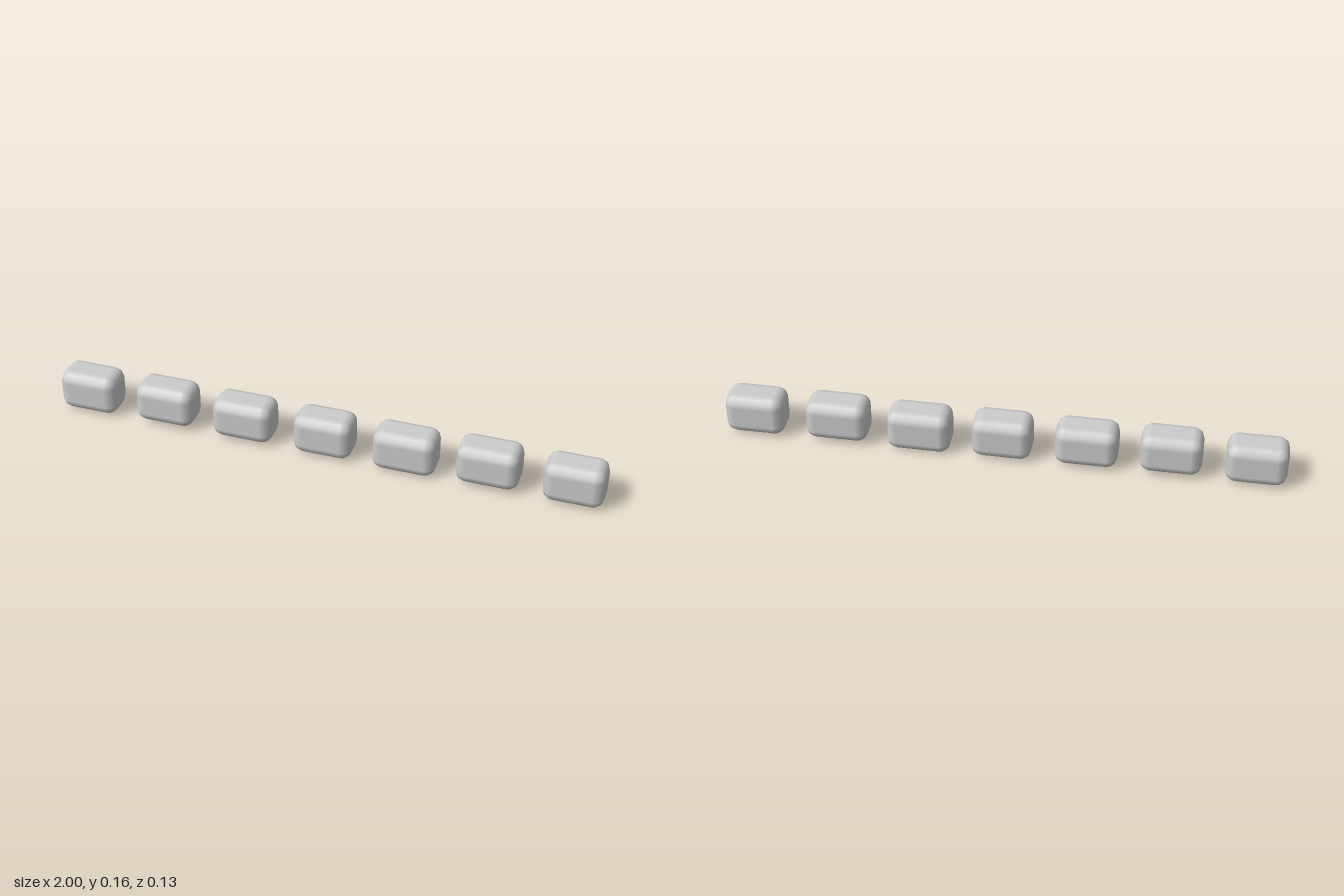
import * as THREE from 'three';

const HALF_DEPTH = 0.067;
const RADIUS = 0.038;

// Rounded block: a grid wrapped around the box, three facets per rounded edge.
function roundedBlock(width, height, depth, r) {
  const geo = new THREE.PlaneGeometry(1, 1, 16, 9);
  const pos = geo.attributes.position;
  const nor = geo.attributes.normal;
  const step = Math.PI / 6;
  const hx = width / 2 - r, hy = height / 2 - r, hz = depth / 2 - r;
  const cornerX = [1, 1, -1, -1];
  const cornerZ = [1, -1, -1, 1];
  for (let row = 0; row <= 9; row++) {
    const cap = row === 0 || row === 9; // closes the flat top and bottom
    const ring = Math.min(Math.max(row - 1, 0), 7);
    const lat = ring < 4 ? Math.PI / 2 - ring * step : -(ring - 4) * step;
    const up = row < 5 ? 1 : -1;
    for (let col = 0; col <= 16; col++) {
      const corner = Math.floor(col / 4) % 4;
      const a = corner * Math.PI / 2 + (col % 4) * step;
      const nx = Math.cos(lat) * Math.sin(a);
      const ny = Math.sin(lat);
      const nz = Math.cos(lat) * Math.cos(a);
      const i = row * 17 + col;
      const y = up * hy + r * ny;
      if (cap) pos.setXYZ(i, 0, y, 0);
      else pos.setXYZ(i, cornerX[corner] * hx + r * nx, y, cornerZ[corner] * hz + r * nz);
      nor.setXYZ(i, nx, ny, nz);
    }
  }
  return geo;
}

export function createModel() {
  const group = new THREE.Group();
  group.name = 'blockRow';
  const grey = new THREE.MeshStandardMaterial({ color: 0xcccccc });
  grey.name = 'light grey';

  // Left edge, right edge, bottom and top of each block
  const blocks = [
    [-1.0, -0.785, 0.007, 0.157],
    [-0.705, -0.488, 0.015, 0.161],
    [-0.411, -0.189, 0.010, 0.157],
    [-0.107, 0.106, 0.007, 0.157],
    [0.183, 0.410, 0.002, 0.154],
    [0.482, 0.705, 0.013, 0.161],
    [0.787, 1.0, 0.007, 0.157],
  ];
  blocks.forEach(([x0, x1, y0, y1], i) => {
    const mesh = new THREE.Mesh(roundedBlock(x1 - x0, y1 - y0, HALF_DEPTH * 2, RADIUS), grey);
    mesh.name = `block${i + 1}`;
    mesh.position.set((x0 + x1) / 2, (y0 + y1) / 2 - 0.002, 0);
    group.add(mesh);
  });
  return group;
}
